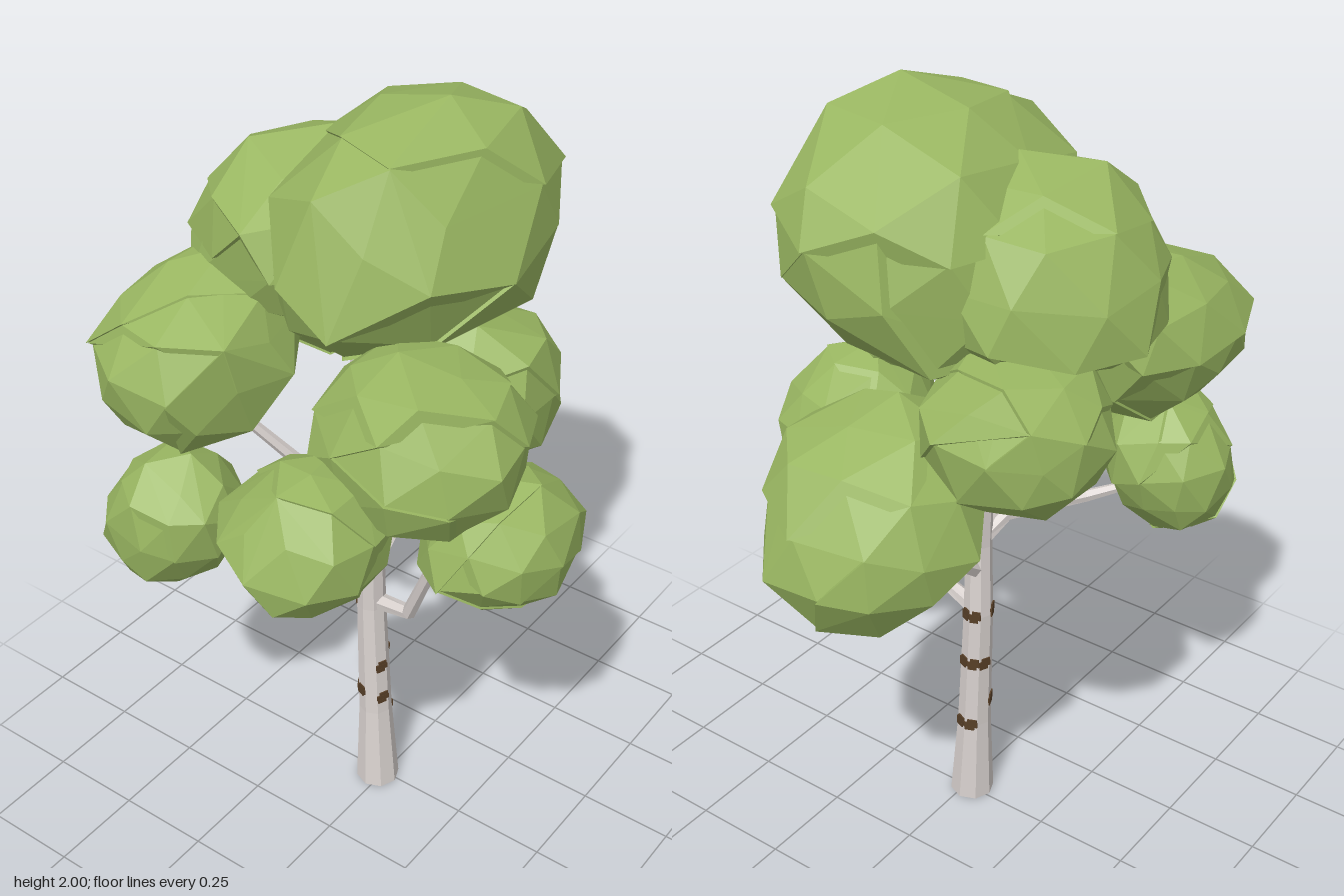
import * as THREE from 'three';
import { mergeVertices } from 'three/addons/utils/BufferGeometryUtils.js';
import { ConvexGeometry } from 'three/addons/geometries/ConvexGeometry.js';

const leafMat = new THREE.MeshStandardMaterial({ color: 0x99b661, flatShading: true });
leafMat.name = 'leaf green';
const barkMat = new THREE.MeshStandardMaterial({ color: 0xd9d2cf, flatShading: true });
barkMat.name = 'pale bark';
const markMat = new THREE.MeshStandardMaterial({ color: 0x573f27, flatShading: true });
markMat.name = 'dark bark mark';

// small seeded random
function seeded(seed) {
  let s = seed * 7919 + 17;
  return () => {
    s = (s * 16807) % 2147483647;
    return s / 2147483647;
  };
}

// tapered limb through [x, y, z, radius] rows, closed at both ends
function limb(rows, sides) {
  const centres = rows.map(([x, y, z]) => new THREE.Vector3(x, y, z));
  const up = new THREE.Vector3(0, 1, 0);
  const pos = [], index = [];
  rows.forEach((row, i) => {
    const a = centres[Math.max(i - 1, 0)], b = centres[Math.min(i + 1, rows.length - 1)];
    const tangent = b.clone().sub(a).normalize();
    const turn = new THREE.Quaternion().setFromUnitVectors(up, i === 0 && row[1] === 0 ? up : tangent);
    for (let k = 0; k < sides; k++) {
      const t = (k / sides) * Math.PI * 2;
      const p = new THREE.Vector3(Math.sin(t), 0, Math.cos(t)).multiplyScalar(row[3]);
      p.applyQuaternion(turn).add(centres[i]);
      pos.push(p.x, p.y, p.z);
    }
  });
  for (let i = 0; i < rows.length - 1; i++) {
    for (let k = 0; k < sides; k++) {
      const a = i * sides + k, b = i * sides + ((k + 1) % sides);
      index.push(a, b, b + sides, a, b + sides, a + sides);
    }
  }
  const last = (rows.length - 1) * sides;
  for (let k = 1; k < sides - 1; k++) {
    index.push(0, k + 1, k, last, last + k, last + k + 1);
  }
  const g = new THREE.BufferGeometry();
  g.setAttribute('position', new THREE.Float32BufferAttribute(pos, 3));
  g.setIndex(index);
  g.computeVertexNormals();
  return g;
}

// faceted leaf clump: a jittered ball with raised caps that form ledges;
// leanX and leanZ slope it in y, flare widens its underside
function clump(centre, radii, [leanX, leanZ, flare], seed) {
  const rnd = seeded(seed);
  for (let i = 0; i < 5; i++) rnd();
  let ball = new THREE.IcosahedronGeometry(1, 1);
  ball.deleteAttribute('normal');
  ball.deleteAttribute('uv');
  ball = mergeVertices(ball, 1e-3);
  const spin = new THREE.Euler(rnd() * 3, rnd() * 6, rnd() * 3);
  const points = [];
  const attr = ball.getAttribute('position');
  for (let i = 0; i < attr.count; i++) {
    const p = new THREE.Vector3().fromBufferAttribute(attr, i);
    p.x += (rnd() - 0.5) * 0.15;
    p.y += (rnd() - 0.5) * 0.15;
    p.z += (rnd() - 0.5) * 0.15;
    p.applyEuler(spin);
    const spread = 1 + flare * Math.max(0, -p.y);
    p.x *= spread;
    p.z *= spread;
    p.y += leanX * p.x + leanZ * p.z;
    points.push(p);
  }
  // fit the points to the wanted box
  const box = new THREE.Box3().setFromPoints(points);
  const mid = box.getCenter(new THREE.Vector3());
  const half = box.getSize(new THREE.Vector3()).multiplyScalar(0.5);
  points.forEach((p) => p.sub(mid).divide(half));

  const group = new THREE.Group();
  const addShell = (list, scale, name) => {
    const size = new THREE.Vector3(...radii).multiplyScalar(scale);
    const mesh = new THREE.Mesh(new ConvexGeometry(list.map((p) => p.clone().multiply(size))), leafMat);
    mesh.name = name;
    group.add(mesh);
  };
  addShell(points, 0.97, 'clumpBody');
  const tilt = () => (rnd() - 0.5) * 1.2;
  const caps = [
    [new THREE.Vector3(tilt(), 1, tilt()), -0.2, 1.005],
    [new THREE.Vector3(tilt(), 1, tilt()), 0.25, 1.03],
    [new THREE.Vector3(tilt(), -0.3, tilt()), 0.1, 1],
  ];
  for (const [dir, limit, scale] of caps) {
    dir.normalize();
    addShell(points.filter((p) => p.dot(dir) > limit), scale, 'leafLedge');
  }
  group.position.set(...centre);
  return group;
}

const TRUNK = [
  [-0.01, 0, -0.015, 0.058], [-0.006, 0.25, -0.025, 0.044], [-0.004, 0.6, -0.038, 0.038],
  [-0.012, 0.8, -0.033, 0.034], [-0.014, 1.03, -0.045, 0.026], [-0.015, 1.25, -0.065, 0.021],
  [0, 1.5, -0.08, 0.014],
];

function trunkAt(y) {
  const i = TRUNK.findIndex((r) => r[1] >= y);
  const a = TRUNK[i - 1], b = TRUNK[i], t = (y - a[1]) / (b[1] - a[1]);
  return a.map((v, k) => v + (b[k] - v) * t);
}

export function createModel() {
  const tree = new THREE.Group();
  tree.name = 'tree';
  const add = (geometry, material, name) => {
    const mesh = new THREE.Mesh(geometry, material);
    mesh.name = name;
    tree.add(mesh);
  };

  add(limb(TRUNK, 8), barkMat, 'trunk');

  // branches
  const branches = {
    frontBranch: [[0, 0.61, -0.03, 0.024], [-0.018, 0.64, 0.09, 0.02], [-0.05, 0.82, 0.17, 0.016],
      [-0.065, 0.89, 0.23, 0.014], [-0.06, 1.0, 0.32, 0.01]],
    leftBranch: [[0, 0.73, -0.035, 0.026], [0.07, 0.78, -0.035, 0.022], [0.145, 0.895, -0.035, 0.018],
      [0.25, 0.925, -0.035, 0.016], [0.4, 1.05, -0.05, 0.01]],
    lowBranch: [[-0.01, 0.8, -0.033, 0.022], [-0.08, 0.865, -0.07, 0.019], [-0.24, 0.885, -0.2, 0.016],
      [-0.36, 0.92, -0.32, 0.009]],
    rightBranch: [[-0.01, 0.82, -0.033, 0.022], [-0.1, 0.95, -0.05, 0.018], [-0.25, 1.025, -0.045, 0.015],
      [-0.42, 1.08, 0, 0.01]],
    upperBranch: [[-0.014, 1.02, -0.045, 0.021], [-0.14, 1.075, -0.15, 0.017], [-0.21, 1.19, -0.23, 0.014],
      [-0.28, 1.35, -0.31, 0.009]],
  };
  for (const [name, rows] of Object.entries(branches)) add(limb(rows, 6), barkMat, name);

  // ragged bark marks: [height, first facet, facet count]
  const marks = [[0.25, 1, 2], [0.305, 7, 1], [0.32, 4, 2], [0.41, 7, 1], [0.45, 1, 3],
    [0.6, 1, 2], [0.61, 4, 1], [0.9, 1, 1], [1.08, 1, 1], [1.22, 0, 1]];
  const facet = Math.PI / 4;
  marks.forEach(([y, start, count]) => {
    for (let s = -1; s <= 1; s++) {
      const [x, , z, r] = trunkAt(y + s * 0.011);
      // each facet gets its own flat strip, shorter at the ragged edges
      for (let k = start; k < start + count; k++) {
        const width = 2 * r * Math.sin(facet / 2) * (s === 0 ? 1.04 : 0.75);
        const strip = new THREE.BoxGeometry(width, s === 0 ? 0.015 : 0.011, 0.005);
        strip.translate(s * r * 0.07, 0, r * Math.cos(facet / 2) + 0.001);
        strip.rotateY((k + 0.5) * facet);
        strip.translate(x, y + s * 0.011, z);
        add(strip, markMat, 'barkMark');
      }
    }
  });

  // leaf clumps: name, centre, radii, [leanX, leanZ, flare]
  const clumps = [
    ['crownClump', [0.075, 1.685, 0.015], [0.4, 0.31, 0.315], [0, 0.2, 0.4]],
    ['backCrownClump', [0.035, 1.635, -0.26], [0.295, 0.235, 0.275], [0, 0.25, 0.2]],
    ['backRightClump', [-0.255, 1.39, -0.33], [0.27, 0.225, 0.225], [0.2, 0, 0]],
    ['backLeftClump', [0.245, 1.345, -0.33], [0.215, 0.18, 0.215], [0, 0, 0]],
    ['leftClump', [0.4, 1.095, -0.045], [0.25, 0.25, 0.265], [-0.3, 0, 0]],
    ['frontClump', [-0.06, 1.035, 0.37], [0.225, 0.18, 0.18], [-0.1, 0, 0]],
    ['frontRightClump', [-0.205, 1.345, 0.255], [0.245, 0.2, 0.255], [0, 0, 0.1]],
    ['rightClump', [-0.455, 1.165, 0.11], [0.2, 0.18, 0.19], [0, 0, 0]],
    ['lowClump', [-0.385, 0.985, -0.345], [0.16, 0.195, 0.18], [0, 0.2, 0]],
  ];
  clumps.forEach(([name, centre, radii, shape], i) => {
    const c = clump(centre, radii, shape, i + 3);
    c.name = name;
    tree.add(c);
  });
  return tree;
}
